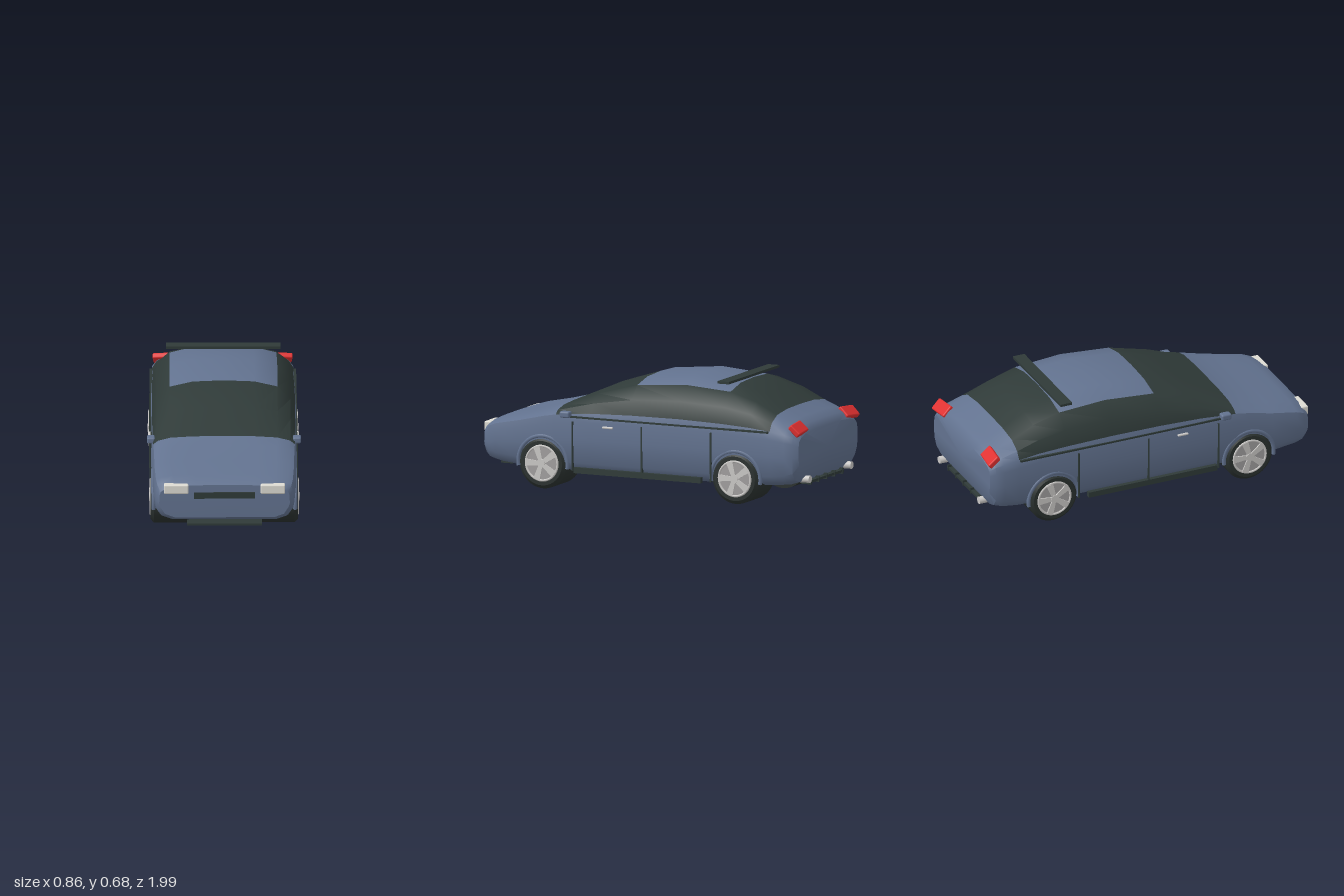
import * as THREE from 'three';
import { toCreasedNormals } from 'three/addons/utils/BufferGeometryUtils.js';
import { RoundedBoxGeometry } from 'three/addons/geometries/RoundedBoxGeometry.js';

const material = (name, color) => {
  const m = new THREE.MeshStandardMaterial({ color });
  m.name = name;
  return m;
};

// Body stations, front to back: [z, half width, underside y, window base y, top y]
const STATIONS = [
  [0.98, 0.365, 0.15, 0.3, 0.34],
  [0.95, 0.383, 0.13, 0.325, 0.358],
  [0.9, 0.392, 0.12, 0.345, 0.375],
  [0.75, 0.4, 0.105, 0.375, 0.405],
  [0.6, 0.402, 0.102, 0.41, 0.445],
  [0.52, 0.406, 0.1, 0.425, 0.474],
  [0.3, 0.41, 0.1, 0.445, 0.57],
  [0.06, 0.41, 0.1, 0.453, 0.647],
  [-0.24, 0.41, 0.1, 0.455, 0.677],
  [-0.52, 0.406, 0.1, 0.447, 0.655],
  [-0.68, 0.402, 0.103, 0.437, 0.6],
  [-0.81, 0.406, 0.11, 0.425, 0.525],
  [-0.9, 0.403, 0.12, 0.41, 0.485],
  [-0.95, 0.395, 0.135, 0.4, 0.458],
  [-0.98, 0.375, 0.18, 0.375, 0.42],
];

// Half outline of one station, from the bottom centre up to the top centre
function halfRing([, w, yb, g, top]) {
  const side = g - yb, roof = top - g;
  return [
    [0, yb], [0.76 * w, yb], [0.91 * w, yb + 0.02], [0.98 * w, yb + 0.06],
    [w, yb + 0.55 * side], [0.995 * w, yb + 0.85 * side], [0.975 * w, g],
    [0.91 * w, g + 0.43 * roof], [0.735 * w, g + 0.81 * roof],
    [0.42 * w, g + 0.965 * roof], [0, top],
  ];
}

// Lofted shell; the first group is paint, the second is glass
function bodyGeometry() {
  const pos = [], paint = [], glass = [], n = 20;
  for (const s of STATIONS) {
    const half = halfRing(s);
    const mirrored = half.slice(1, 10).reverse().map(([x, y]) => [-x, y]);
    for (const [x, y] of [...half, ...mirrored]) pos.push(x, y, s[0]);
  }
  for (let i = 0; i < STATIONS.length - 1; i++) {
    const z = (STATIONS[i][0] + STATIONS[i + 1][0]) / 2;
    for (let j = 0; j < n; j++) {
      const k = j < 10 ? j : 19 - j;
      const roofPanel = k >= 8 && z < 0.06 && z > -0.52;
      const isGlass = k >= 6 && z < 0.52 && z > -0.81 && !roofPanel;
      const a = i * n + j, b = i * n + (j + 1) % n, c = a + n, d = b + n;
      (isGlass ? glass : paint).push(a, c, b, b, c, d);
    }
  }
  // end caps
  const last = (STATIONS.length - 1) * n, centre = pos.length / 3;
  pos.push(0, 0.25, STATIONS[0][0] + 0.003, 0, 0.3, STATIONS.at(-1)[0] - 0.005);
  for (let j = 0; j < n; j++) {
    const k = (j + 1) % n;
    paint.push(centre, j, k, centre + 1, last + k, last + j);
  }
  const geo = new THREE.BufferGeometry();
  geo.setAttribute('position', new THREE.Float32BufferAttribute(pos, 3));
  geo.setIndex([...paint, ...glass]);
  geo.addGroup(0, paint.length, 0);
  geo.addGroup(paint.length, glass.length, 1);
  return toCreasedNormals(geo, 0.65);
}

export function createModel() {
  const car = new THREE.Group();
  car.name = 'car';
  const blue = material('bluePaint', 0x62728f);
  const dark = material('darkGlassAndTrim', 0x2f3a38);
  const rubber = material('tyreRubber', 0x2a312f);
  const silver = material('silver', 0xcac8c6);
  const grey = material('wheelGrey', 0xa09e9e);
  const lamp = material('headlightWhite', 0xdcdad2);
  const red = material('tailLightRed', 0xe03030);

  const add = (name, geo, mat, x = 0, y = 0, z = 0, parent = car) => {
    const m = new THREE.Mesh(geo, mat);
    m.name = name;
    m.position.set(x, y, z);
    parent.add(m);
    return m;
  };
  const box = (name, mat, w, h, d, x, y, z, parent) =>
    add(name, new THREE.BoxGeometry(w, h, d), mat, x, y, z, parent);
  const rounded = (name, mat, w, h, d, r, x, y, z) =>
    add(name, new RoundedBoxGeometry(w, h, d, 3, r), mat, x, y, z);

  add('body', bodyGeometry(), [blue, dark]);

  // wheels, modelled facing +x
  const tyreProfile = [[0, 0.203], [0.145, 0.203], [0.145, 0.393], [0.126, 0.411], [0.105, 0.411], [0.1, 0.406], [0, 0.406]];
  const tyreGeo = toCreasedNormals(new THREE.LatheGeometry(tyreProfile.map(p => new THREE.Vector2(...p)), 40), 0.5);
  tyreGeo.rotateZ(-Math.PI / 2);
  const disc = (r, depth) => new THREE.CylinderGeometry(r, r, depth, 36).rotateZ(-Math.PI / 2);
  const rimRing = new THREE.TorusGeometry(0.098, 0.007, 8, 40).rotateY(Math.PI / 2);
  const spokeShape = new THREE.Shape([[-0.012, 0.015], [0.012, 0.015], [0.02, 0.097], [-0.02, 0.097]].map(p => new THREE.Vector2(...p)));
  const spokeGeo = new THREE.ExtrudeGeometry(spokeShape, { depth: 0.01, bevelEnabled: false }).rotateY(Math.PI / 2);
  const archGeo = new THREE.TorusGeometry(0.153, 0.012, 8, 32, Math.PI * 1.1).rotateZ(-Math.PI * 0.05).rotateY(Math.PI / 2);

  for (const s of [1, -1]) {
    for (const z of [0.6, -0.6]) {
      const wheel = new THREE.Group();
      wheel.name = (z > 0 ? 'front' : 'rear') + (s > 0 ? 'Left' : 'Right') + 'Wheel';
      wheel.position.set(0, 0.145, z);
      wheel.rotation.y = s > 0 ? 0 : Math.PI;
      car.add(wheel);
      add('tyre', tyreGeo, rubber, 0, 0, 0, wheel);
      add('wheelDisc', disc(0.1, 0.01), grey, 0.406, 0, 0, wheel);
      add('rimRing', rimRing, silver, 0.41, 0, 0, wheel);
      add('hub', disc(0.024, 0.016), silver, 0.413, 0, 0, wheel);
      for (let i = 0; i < 5; i++) {
        add('spoke', spokeGeo, silver, 0.408, 0, 0, wheel).rotation.x = i * Math.PI * 0.4 + Math.PI / 2;
      }
      add('wheelArch', archGeo, blue, s * 0.396, 0.145, z);
    }

    // side details
    box('sill', dark, 0.024, 0.032, 0.79, s * 0.403, 0.12, 0.005);
    box('beltTrim', dark, 0.02, 0.01, 1.23, s * 0.4, 0.42, -0.19);
    for (const z of [0.41, -0.02, -0.45]) box('doorSeam', dark, 0.02, 0.28, 0.008, s * 0.404, 0.255, z);
    rounded('doorHandle', silver, 0.018, 0.012, 0.065, 0.005, s * 0.411, 0.375, 0.19);
    rounded('sideMirror', blue, 0.046, 0.036, 0.06, 0.01, s * 0.408, 0.432, 0.452);

    // lights and exhausts
    rounded('headlight', lamp, 0.138, 0.054, 0.045, 0.008, s * 0.27, 0.317, 0.972);
    const tail = rounded('tailLight', red, 0.138, 0.032, 0.075, 0.008, s * 0.32, 0.44, -0.952);
    tail.rotation.set(-0.75, s * 0.1, 0);
    add('exhaust', new THREE.CylinderGeometry(0.021, 0.021, 0.075, 20), silver, s * 0.265, 0.15, -0.962).rotation.x = Math.PI / 2;
  }

  // nose, roof and underside trim
  box('grille', dark, 0.34, 0.036, 0.012, 0, 0.28, 0.982);
  box('frontSplitter', dark, 0.42, 0.012, 0.075, 0, 0.098, 0.915);
  box('roofSpoiler', dark, 0.64, 0.014, 0.07, 0, 0.667, -0.485);
  box('underPlate', dark, 0.2, 0.014, 0.14, 0, 0.095, 0.02);
  box('rearDiffuser', dark, 0.44, 0.014, 0.06, 0, 0.125, -0.942);
  for (let i = -2; i <= 2; i++) box('diffuserFin', dark, 0.008, 0.035, 0.06, i * 0.1, 0.127, -0.945);

  return car;
}
